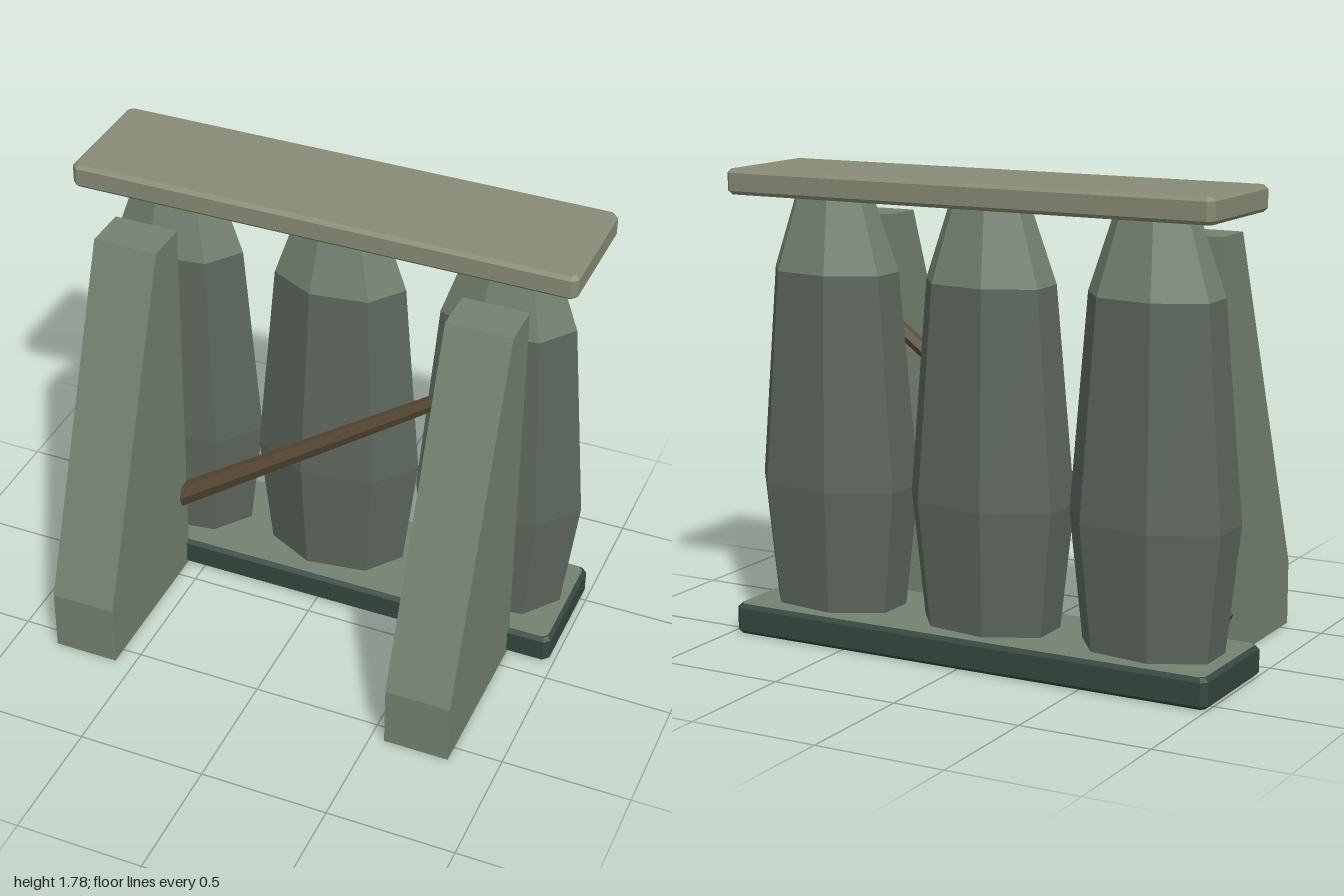
import * as THREE from 'three';

const paint = (color) => new THREE.MeshStandardMaterial({ color, flatShading: true });
const capStone = paint(0x888b75);
const greenStone = paint(0x748270);
const bodyStone = paint(0x5c665d);
const darkStone = paint(0x35473f);
const wood = paint(0x5c4c38);

const CX = -0.01, CZ = -0.325;   // centre of the pillar row
const SLAB_W = 1.98, SLAB_D = 0.49, BEVEL = 0.014;

function add(parent, name, geometry, material, x = 0, y = 0, z = 0) {
  const mesh = new THREE.Mesh(geometry, material);
  mesh.name = name;
  mesh.position.set(x, y, z);
  parent.add(mesh);
  return mesh;
}

// Rectangle with clipped corners
function clippedRect(w, d, c) {
  const x = w / 2, y = d / 2;
  return new THREE.Shape([
    [x - c, -y], [x, c - y], [x, y - c], [x - c, y],
    [c - x, y], [-x, y - c], [-x, c - y], [c - x, -y],
  ].map(([a, b]) => new THREE.Vector2(a, b)));
}

// Flat slab with chamfered edges, standing on y = 0
function slabGeometry(height) {
  const g = new THREE.ExtrudeGeometry(clippedRect(SLAB_W, SLAB_D, 0.022), {
    depth: height - 2 * BEVEL, bevelEnabled: true, bevelSegments: 1,
    bevelSize: BEVEL, bevelThickness: BEVEL, bevelOffset: -BEVEL,
  });
  return g.translate(0, 0, BEVEL).rotateX(-Math.PI / 2);
}

// Seven-sided frustum, flattened front to back, with a corner on +x
function frustum(rBottom, rTop, y0, y1) {
  const g = new THREE.CylinderGeometry(rTop, rBottom, y1 - y0, 7, 1, true);
  return g.rotateY(Math.PI / 2).scale(1, 1, 0.635).translate(0, (y0 + y1) / 2, 0);
}

export function createModel() {
  const model = new THREE.Group();
  model.name = 'stoneMonument';

  // Base with a lighter top surface, and the lintel
  add(model, 'baseSlab', slabGeometry(0.115), darkStone, CX, 0, CZ);
  const top = new THREE.ShapeGeometry(clippedRect(SLAB_W - 0.028, SLAB_D - 0.028, 0.02));
  add(model, 'baseTop', top.rotateX(-Math.PI / 2), greenStone, CX, 0.117, CZ);
  add(model, 'lintelSlab', slabGeometry(0.095), capStone, CX, 1.69, CZ);

  // Three bulging pillars
  for (const i of [-1, 0, 1]) {
    const pillar = new THREE.Group();
    pillar.name = 'pillar';
    pillar.position.set(CX + i * 0.668, 0, CZ - 0.005);
    add(pillar, 'pillarFoot', frustum(0.28, 0.337, 0.1, 0.59), bodyStone);
    add(pillar, 'pillarBody', frustum(0.337, 0.265, 0.59, 1.4), bodyStone);
    add(pillar, 'pillarNeck', frustum(0.265, 0.158, 1.4, 1.7), greenStone);
    model.add(pillar);
  }

  // Two sloping buttresses in front, profile drawn in z and y
  const profile = new THREE.Shape([
    [-0.1, 0], [0.57, 0], [0.57, 0.25], [0.075, 1.59], [-0.1, 1.59],
  ].map(([z, y]) => new THREE.Vector2(-z, y)));
  for (const x of [-0.83, 0.555]) {
    const g = new THREE.ExtrudeGeometry(profile, { depth: 0.255, bevelEnabled: false });
    add(model, 'buttress', g.rotateY(Math.PI / 2), greenStone, x, 0, 0);
  }

  // Tapered wooden pole leaning across the pillars
  const from = new THREE.Vector3(-0.85, 0.165, -0.08);
  const to = new THREE.Vector3(0.68, 1.265, -0.08);
  const dir = to.clone().sub(from);
  const pole = add(model, 'leaningPole',
    new THREE.CylinderGeometry(0.026, 0.05, dir.length(), 6), wood);
  pole.position.copy(from).add(to).multiplyScalar(0.5);
  pole.quaternion.setFromUnitVectors(new THREE.Vector3(0, 1, 0), dir.normalize());

  return model;
}
